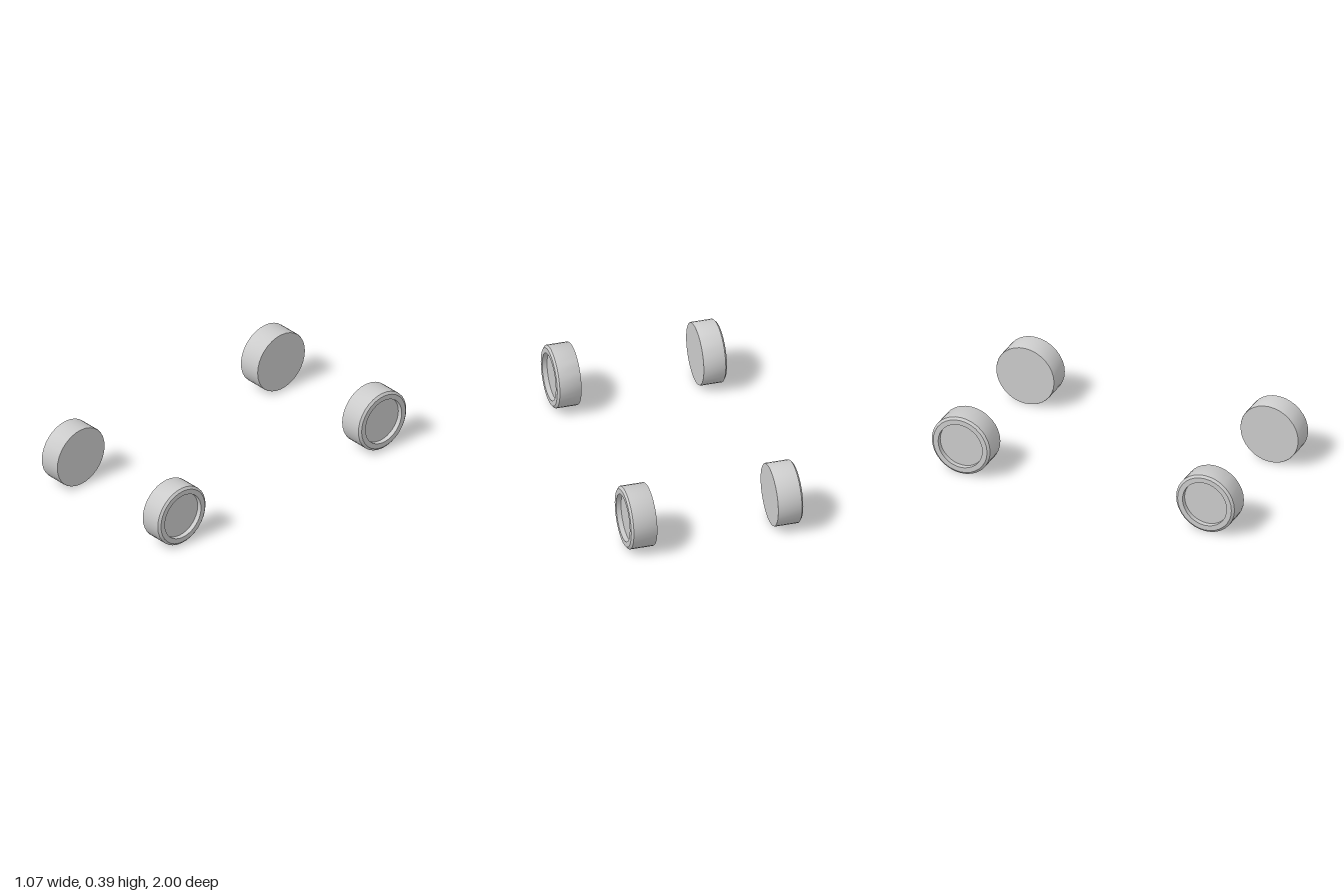
import * as THREE from 'three';
import { toCreasedNormals } from 'three/addons/utils/BufferGeometryUtils.js';

const RADIUS = 0.193;
const AXLE_Z = 0.807;

// Wheel turned around its axle: flat inner face, chamfered outer rim, recessed hub
function wheelGeometry(inner, outer) {
  const profile = [
    [0, inner],
    [RADIUS - 0.002, inner],
    [RADIUS, inner + 0.004],
    [RADIUS, outer - 0.012],
    [0.178, outer],
    [0.146, outer],
    [0.146, outer - 0.03],
    [0, outer - 0.03],
  ].map(([r, h]) => new THREE.Vector2(r, h));
  return toCreasedNormals(new THREE.LatheGeometry(profile, 32), 0.5);
}

export function createModel() {
  const model = new THREE.Group();
  model.name = 'wheelSet';
  const material = new THREE.MeshStandardMaterial({ color: 0xcccccc });

  // Rear wheels are slightly wider than the front ones
  const axles = [
    { name: 'front', z: AXLE_Z, inner: 0.381, outer: 0.529 },
    { name: 'rear', z: -AXLE_Z, inner: 0.377, outer: 0.536 },
  ];
  for (const { name, z, inner, outer } of axles) {
    const geometry = wheelGeometry(inner, outer);
    for (const side of [1, -1]) {
      const wheel = new THREE.Mesh(geometry, material);
      wheel.name = name + (side > 0 ? 'LeftWheel' : 'RightWheel');
      wheel.rotation.z = -side * Math.PI / 2;
      wheel.position.set(0, RADIUS, z);
      model.add(wheel);
    }
  }
  return model;
}
